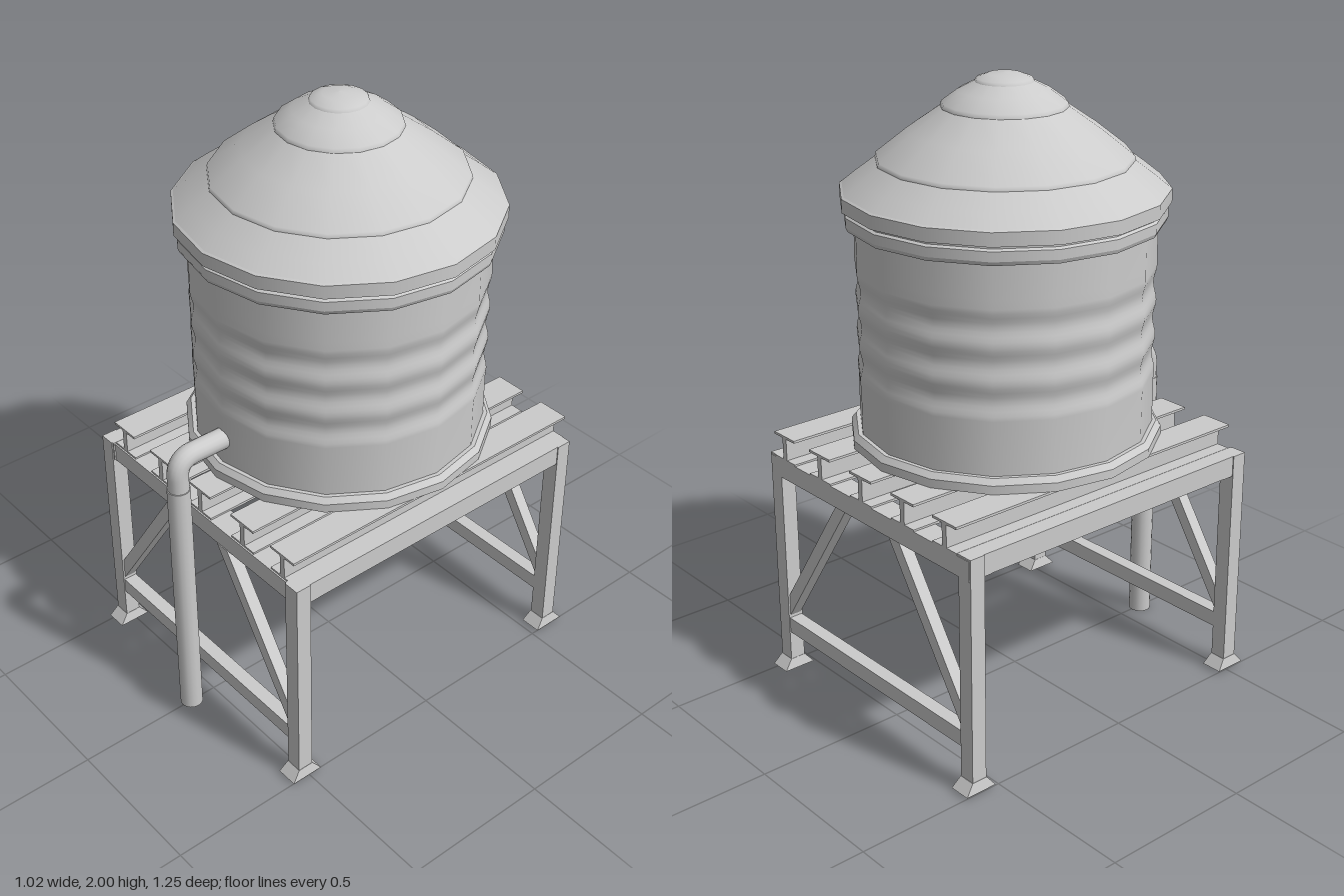
import * as THREE from 'three';

const mat = new THREE.MeshStandardMaterial({ color: 0xcccccc, side: THREE.DoubleSide });

export function createModel() {
  const model = new THREE.Group();

  const add = (name, geo, parent = model) => {
    const m = new THREE.Mesh(geo, mat);
    m.name = name;
    parent.add(m);
    return m;
  };
  // Box given by its min and max on each axis
  const box = (name, x0, x1, y0, y1, z0, z1, parent) => {
    const g = new THREE.BoxGeometry(x1 - x0, y1 - y0, z1 - z0);
    g.translate((x0 + x1) / 2, (y0 + y1) / 2, (z0 + z1) / 2);
    return add(name, g, parent);
  };
  const group = (name, parent = model) => {
    const g = new THREE.Group();
    g.name = name;
    parent.add(g);
    return g;
  };

  // Tank: sixteen-sided lathes, one per run of smooth surface
  const tank = group('tank');
  tank.position.z = -0.04;
  const lathe = (name, pts) =>
    add(name, new THREE.LatheGeometry(pts.map(p => new THREE.Vector2(...p)), 16), tank);
  // Hard-edged ring: a separate lathe for every profile segment
  const ring = (name, pts) => {
    for (let i = 0; i < pts.length - 1; i++) lathe(name, [pts[i], pts[i + 1]]);
  };

  ring('tankBase', [[0, 0.862], [0.49, 0.862], [0.49, 0.89], [0.475, 0.908], [0.455, 0.908]]);

  // Wall with gentle corrugations round the middle
  const wall = [[0.462, 0.905], [0.462, 1.05]];
  for (let i = 0; i <= 24; i++) {
    const y = 1.08 + i * 0.0142;
    wall.push([0.459 + 0.005 * Math.cos((i / 24) * Math.PI * 6), y]);
  }
  wall.push([0.463, 1.45], [0.463, 1.57]);
  lathe('tankWall', wall);

  ring('eaveBand', [[0.45, 1.558], [0.487, 1.558], [0.492, 1.57], [0.492, 1.6], [0.484, 1.606],
    [0.484, 1.612], [0.502, 1.616], [0.502, 1.658], [0.49, 1.665]]);

  // Roof: overlapping tiers
  lathe('roofLower', [[0.495, 1.662], [0.45, 1.698], [0.38, 1.75]]);
  lathe('roofMiddle', [[0.391, 1.742], [0.388, 1.755], [0.29, 1.832], [0.18, 1.908]]);
  lathe('roofUpper', [[0.192, 1.9], [0.188, 1.913], [0.14, 1.948], [0.08, 1.978]]);
  lathe('roofCap', [[0.09, 1.972], [0.085, 1.983], [0.05, 1.996], [0, 2]]);

  // Platform: I-beams running front to back
  const platform = group('platform');
  for (const x of [-0.385, -0.19, 0.015, 0.225, 0.415]) {
    const beam = group('floorBeam', platform);
    box('topFlange', x - 0.054, x + 0.054, 0.853, 0.861, -0.6, 0.525, beam);
    box('web', x - 0.01, x + 0.01, 0.779, 0.854, -0.6, 0.525, beam);
    box('bottomFlange', x - 0.054, x + 0.054, 0.772, 0.78, -0.6, 0.525, beam);
  }

  // Stand frame
  const stand = group('stand');
  box('frontBeam', -0.495, 0.495, 0.71, 0.774, 0.45, 0.53, stand);
  box('backBeam', -0.495, 0.495, 0.71, 0.774, -0.6, -0.52, stand);
  for (const s of [-1, 1]) {
    const x0 = s < 0 ? -0.496 : 0.44;
    box('sideBeam', x0, x0 + 0.056, 0.712, 0.78, -0.598, 0.535, stand);
  }

  // Legs with flared feet, then a rail and two braces at each end
  for (const z of [0.513, -0.572]) {
    for (const s of [-1, 1]) {
      const x = s * 0.472;
      box('leg', x - 0.027, x + 0.027, 0.03, 0.78, z - 0.026, z + 0.026, stand);
      const g = new THREE.BoxGeometry(0.056, 0.034, 0.054);
      const p = g.attributes.position;
      for (let i = 0; i < p.count; i++) {
        if (p.getY(i) < 0) {
          p.setX(i, Math.sign(p.getX(i)) * 0.036);
          p.setZ(i, Math.sign(p.getZ(i)) * 0.055);
        }
      }
      g.computeVertexNormals();
      add('foot', g, stand).position.set(x, 0.027, z);

      const brace = new THREE.Shape([[0.45, 0.2], [0.45, 0.275], [0.155, 0.712], [0.105, 0.712]]
        .map(([px, py]) => new THREE.Vector2(s * px, py)));
      const b = new THREE.ExtrudeGeometry(brace, { depth: 0.04, bevelEnabled: false });
      add('brace', b, stand).position.z = z - 0.02;
    }
    box('rail', -0.446, 0.446, 0.145, 0.198, z - 0.023, z + 0.023, stand);
  }

  // Drain pipe: upright, collar joint, elbow into the tank wall
  const pipe = group('pipe');
  pipe.position.set(-0.003, 0, 0.588);
  const upright = new THREE.CylinderGeometry(0.037, 0.037, 0.885, 16, 1, true);
  upright.translate(0, 0.4425, 0);
  add('pipeUpright', upright, pipe);
  const collar = new THREE.RingGeometry(0.03, 0.037, 16);
  collar.rotateX(-Math.PI / 2);
  add('pipeCollar', collar, pipe).position.y = 0.885;
  const path = new THREE.CurvePath();
  const v = (y, z) => new THREE.Vector3(0, y, z);
  path.add(new THREE.LineCurve3(v(0.87, 0), v(0.93, 0)));
  path.add(new THREE.QuadraticBezierCurve3(v(0.93, 0), v(0.993, 0), v(0.993, -0.065)));
  path.add(new THREE.LineCurve3(v(0.993, -0.065), v(0.993, -0.19)));
  add('pipeElbow', new THREE.TubeGeometry(path, 28, 0.034, 16), pipe);

  return model;
}
